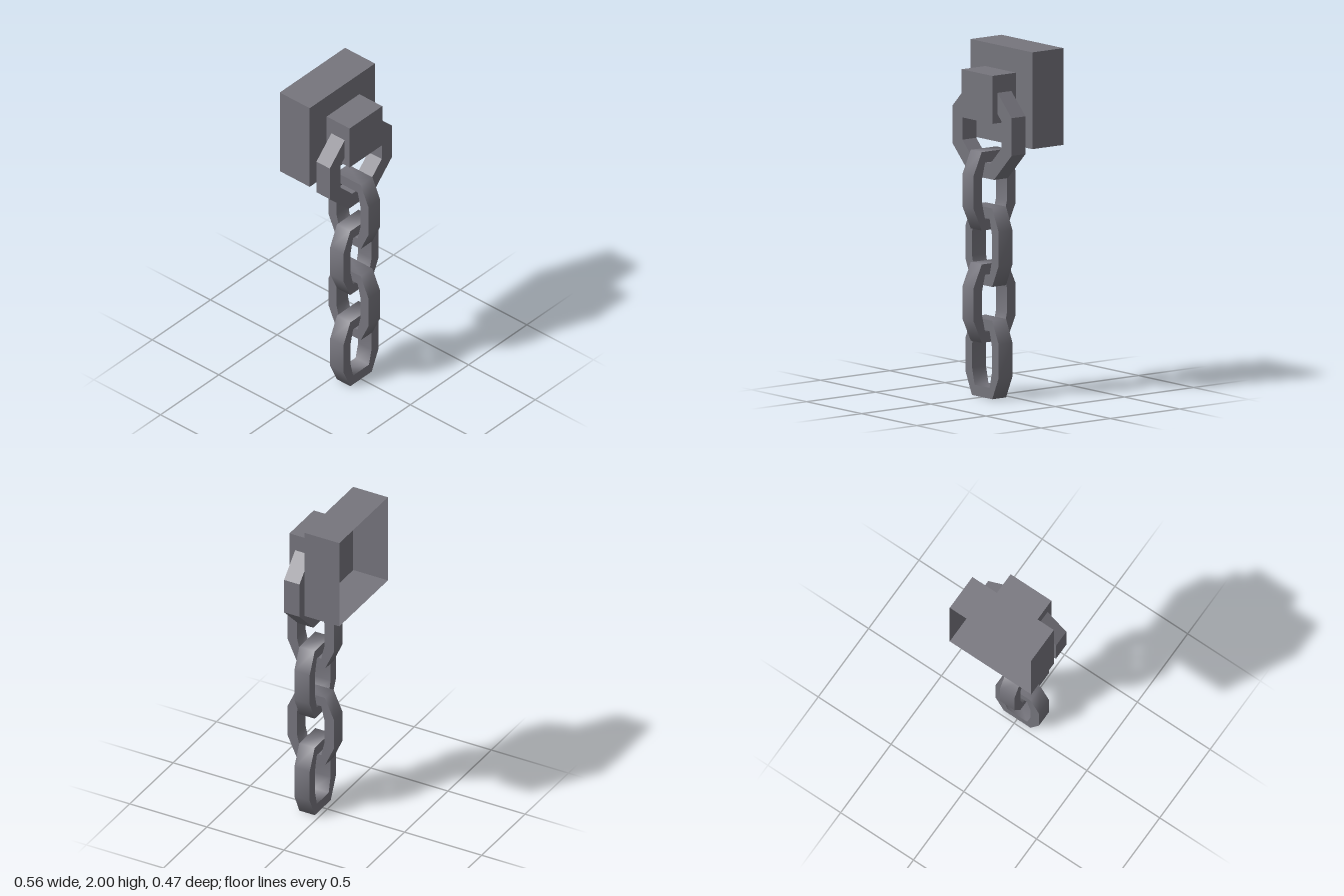
import * as THREE from 'three';
import { toCreasedNormals } from 'three/addons/utils/BufferGeometryUtils.js';

// Four-way mirrored octagon points: (x1, y1) on top/bottom edge, (x2, y2) on the sides
const octagon = (x1, y1, x2, y2) => [
  [x1, -y1], [x2, -y2], [x2, y2], [x1, y1],
  [-x1, y1], [-x2, y2], [-x2, -y2], [-x1, -y1],
].map(([x, y]) => new THREE.Vector2(x, y));

// Octagonal ring extruded along z and centred on the origin
function ringGeometry(outer, inner, depth, crease) {
  const shape = new THREE.Shape(octagon(...outer));
  shape.holes.push(new THREE.Path(octagon(...inner)));
  const geo = new THREE.ExtrudeGeometry(shape, { depth, bevelEnabled: false });
  geo.translate(0, 0, -depth / 2);
  return toCreasedNormals(geo, crease);
}

// Box without its back face
function openBackBox(w, h, d) {
  const geo = new THREE.BoxGeometry(w, h, d);
  geo.setIndex(Array.from(geo.index.array).slice(0, 30));
  geo.clearGroups();
  return geo;
}

export function createModel() {
  const model = new THREE.Group();
  model.name = 'wallChain';
  const iron = new THREE.MeshStandardMaterial({ color: 0x76757d, side: THREE.DoubleSide });
  iron.name = 'dark iron';

  const add = (name, geo, x, y, z) => {
    const mesh = new THREE.Mesh(geo, iron);
    mesh.name = name;
    mesh.position.set(x, y, z);
    model.add(mesh);
    return mesh;
  };

  // Hollow wall mount and the block that holds the ring
  add('wallMount', openBackBox(0.56, 0.555, 0.225), 0, 1.7225, -0.1225);
  add('ringHolder', new THREE.BoxGeometry(0.28, 0.275, 0.172), 0, 1.7275, 0.081);

  // Large faceted ring
  add('mountRing', ringGeometry([0.108, 0.268, 0.268, 0.108], [0.076, 0.178, 0.178, 0.076], 0.1, 0.1), 0, 1.528, 0.08);

  // Hanging links, every second one turned a quarter
  const linkGeo = ringGeometry([0.092, 0.225, 0.15, 0.097], [0.068, 0.163, 0.09, 0.07], 0.1, 1.4);
  for (let i = 0; i < 4; i++) {
    const link = add('chainLink' + (i + 1), linkGeo, 0, 0.225 + i * 0.322, 0.08);
    if (i % 2) link.rotation.y = Math.PI / 2;
  }
  return model;
}
